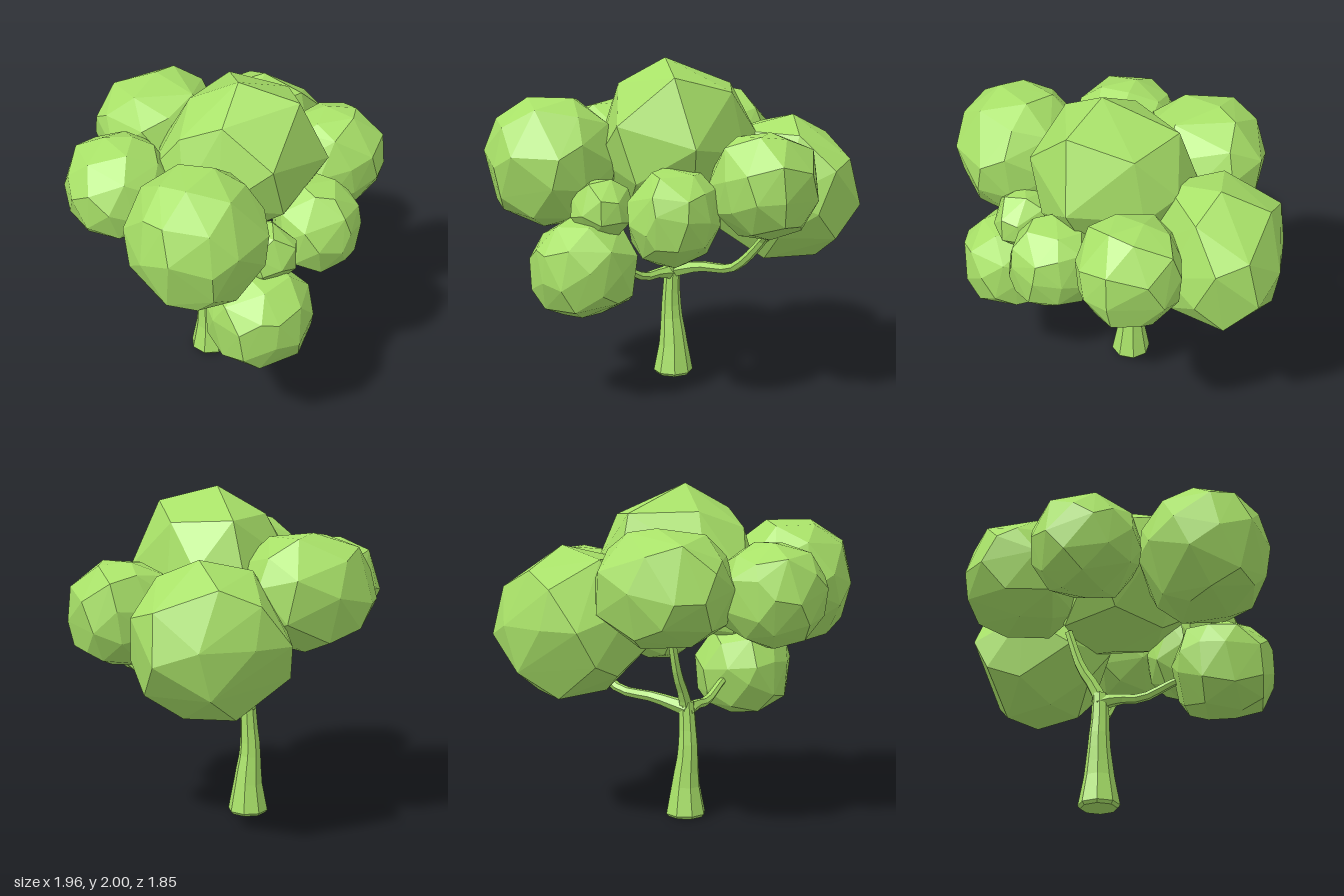
import * as THREE from 'three';
import { ConvexGeometry } from 'three/addons/geometries/ConvexGeometry.js';

const green = new THREE.MeshStandardMaterial({ color: 0xa8e168, flatShading: true });

// small seeded generator
function seeded(seed) {
  let s = seed * 7919 + 17;
  return () => (s = (s * 16807) % 2147483647) / 2147483647;
}

// Faceted hull around a handful of corners
function hull(name, points) {
  const mesh = new THREE.Mesh(new ConvexGeometry(points), green);
  mesh.name = name;
  return mesh;
}

// Leaf clump: jittered points on a ball (boxier as fullness grows), fitted to a box
function clump(name, min, max, count, seed, fullness) {
  const rnd = seeded(seed);
  for (let i = 0; i < 5; i++) rnd();
  const turn = new THREE.Euler(rnd() * 6, rnd() * 6, rnd() * 6);
  const points = [];
  for (let i = 0; i < count; i++) {
    const y = 1 - (2 * i) / (count - 1);
    const a = i * 2.39996 + (rnd() - 0.5) * 0.45;
    const r = Math.sqrt(Math.max(0, 1 - y * y));
    const p = new THREE.Vector3(r * Math.cos(a), y, r * Math.sin(a)).applyEuler(turn);
    const norm = p.toArray().reduce((sum, v) => sum + Math.abs(v) ** fullness, 0) ** (1 / fullness);
    points.push(p.multiplyScalar((0.98 + rnd() * 0.04) / norm));
  }
  const box = new THREE.Box3().setFromPoints(points);
  const lo = new THREE.Vector3(...min);
  const scale = new THREE.Vector3(...max).sub(lo).divide(box.getSize(new THREE.Vector3()));
  points.forEach((p) => p.sub(box.min).multiply(scale).add(lo));
  return hull(name, points);
}

// Tapered, capped limb following a path; radii are spread evenly along its length
function limb(name, path, radii, steps, sides) {
  const curve = new THREE.CatmullRomCurve3(path.map((p) => new THREE.Vector3(...p)));
  const frames = curve.computeFrenetFrames(steps, false);
  const rings = [[0, 0]];
  for (let i = 0; i <= steps; i++) {
    const f = (i / steps) * (radii.length - 1);
    const k = Math.min(Math.floor(f), radii.length - 2);
    rings.push([i, THREE.MathUtils.lerp(radii[k], radii[k + 1], f - k)]);
  }
  rings.push([steps, 0]);
  const pos = [], index = [];
  rings.forEach(([i, r], row) => {
    const c = curve.getPointAt(i / steps);
    for (let j = 0; j < sides; j++) {
      const a = (j / sides) * Math.PI * 2;
      const p = c.clone()
        .addScaledVector(frames.normals[i], r * Math.cos(a))
        .addScaledVector(frames.binormals[i], r * Math.sin(a));
      pos.push(p.x, p.y, p.z);
      if (row < rings.length - 1) {
        const a0 = row * sides + j, b0 = row * sides + ((j + 1) % sides);
        index.push(a0, b0, a0 + sides, b0, b0 + sides, a0 + sides);
      }
    }
  });
  const geo = new THREE.BufferGeometry();
  geo.setAttribute('position', new THREE.Float32BufferAttribute(pos, 3));
  geo.setIndex(index);
  geo.computeVertexNormals();
  const mesh = new THREE.Mesh(geo, green);
  mesh.name = name;
  return mesh;
}

// Corners of the peaked crown, from the top down
const crown = [
  [0, 2, 0.08], [0.27, 1.91, 0.31], [0.4, 1.81, -0.05], [0.16, 1.83, -0.34], [-0.2, 1.84, -0.14],
  [-0.38, 1.74, 0.1], [-0.2, 1.85, 0.27], [0, 1.63, 0.5], [0.455, 1.52, 0.34], [0.46, 1.45, -0.1],
  [0.39, 1.55, -0.3], [0.16, 1.5, -0.46], [-0.3, 1.55, -0.27], [-0.49, 1.45, -0.1], [-0.42, 1.45, 0.22],
  [-0.28, 1.4, 0.37], [0.1, 1.3, 0.45], [0.32, 1.17, 0.2], [0.27, 1.14, -0.22], [-0.15, 1.14, -0.32],
  [-0.33, 1.17, 0], [-0.12, 1.12, 0.27], [0.02, 1.04, 0],
];

// Corners of the heavy-bottomed clump at the back
const backLeft = [
  [0.5, 1.65, -0.52], [0.67, 1.55, -0.35], [0.25, 1.56, -0.25], [0.2, 1.58, -0.6], [0.55, 1.52, -0.8],
  [0.35, 1.43, -0.91], [0.16, 1.2, -0.93], [0.4, 1.2, -0.93], [0.7, 1.2, -0.84], [0.89, 1.12, -0.68],
  [0.85, 1.4, -0.62], [0.88, 1.35, -0.43], [0.83, 1.1, -0.33], [0.66, 1.2, -0.2], [0.84, 0.93, -0.5],
  [0.62, 0.95, -0.22], [0.3, 1.15, -0.08], [0.2, 0.95, -0.2], [0, 1.3, -0.6], [0, 1.1, -0.3],
  [0.08, 0.92, -0.62], [0.1, 1, -0.83], [0.62, 0.93, -0.83], [0.4, 0.78, -0.74], [0.64, 0.79, -0.58],
  [0.25, 0.8, -0.45], [0.46, 0.79, -0.3],
];

export function createModel() {
  const tree = new THREE.Group();
  tree.name = 'tree';

  // Trunk with a flared foot
  const wood = new THREE.Group();
  wood.name = 'wood';
  wood.add(
    limb('trunk', [[-0.1, 0.018, -0.11], [-0.1, 0.2, -0.11], [-0.115, 0.4, -0.11], [-0.11, 0.55, -0.105], [-0.1, 0.7, -0.105]],
      [0.123, 0.09, 0.068, 0.055, 0.048], 8, 8));
  const foot = new THREE.Mesh(new THREE.CylinderGeometry(0.123, 0.108, 0.018, 8), green);
  foot.name = 'foot';
  foot.position.set(-0.1, 0.009, -0.11);
  wood.add(foot);

  // Branches reaching into the clumps
  wood.add(
    limb('frontBranch', [[-0.105, 0.64, -0.12], [-0.11, 0.665, -0.02], [-0.12, 0.665, 0.14], [-0.13, 0.75, 0.32], [-0.14, 0.8, 0.45]],
      [0.05, 0.03, 0.027, 0.024, 0.02], 8, 6),
    limb('sideBranch', [[-0.11, 0.66, -0.11], [0.1, 0.715, -0.13], [0.35, 0.745, -0.12], [0.5, 0.85, -0.1], [0.62, 0.97, -0.08]],
      [0.048, 0.034, 0.03, 0.028, 0.026], 10, 6),
    limb('sideTwigFront', [[0.61, 0.96, -0.08], [0.66, 1.0, -0.05], [0.72, 1.08, 0.0]], [0.025, 0.022, 0.018], 4, 6),
    limb('sideTwigBack', [[0.61, 0.96, -0.08], [0.65, 1.0, -0.13], [0.68, 1.06, -0.2]], [0.025, 0.022, 0.018], 4, 6),
    limb('backBranch', [[-0.1, 0.65, -0.1], [-0.1, 0.75, -0.14], [-0.1, 0.88, -0.22], [-0.1, 1.12, -0.3]],
      [0.045, 0.035, 0.03, 0.025], 7, 6));
  tree.add(wood);

  const leaves = new THREE.Group();
  leaves.name = 'leaves';
  leaves.add(
    hull('crownClump', crown.map((p) => new THREE.Vector3(...p))),
    hull('backLeftClump', backLeft.map((p) => new THREE.Vector3(...p))));
  // Round clumps: name, lower corner, upper corner, points, seed, fullness
  [
    ['backRightClump', [-0.57, 1.1, -0.93], [0.2, 1.77, -0.2], 34, 5, 2.4],
    ['rightClump', [-0.98, 1.07, -0.45], [-0.36, 1.68, 0.18], 40, 11, 2.25],
    ['frontRightClump', [-0.87, 1.02, 0.15], [-0.12, 1.77, 0.92], 40, 14, 2.25],
    ['leftClump', [0.4, 1.0, -0.28], [0.98, 1.6, 0.31], 36, 17, 2.6],
    ['frontLeftClump', [0.09, 0.86, 0.15], [0.6, 1.41, 0.67], 38, 20, 2.4],
    ['lowFrontClump', [-0.45, 0.52, 0.32], [0.15, 1.1, 0.92], 40, 23, 2.5],
    ['smallFrontClump', [-0.24, 0.98, 0.38], [0.11, 1.33, 0.73], 24, 26, 2.4],
  ].forEach((c) => leaves.add(clump(...c)));
  tree.add(leaves);
  return tree;
}
